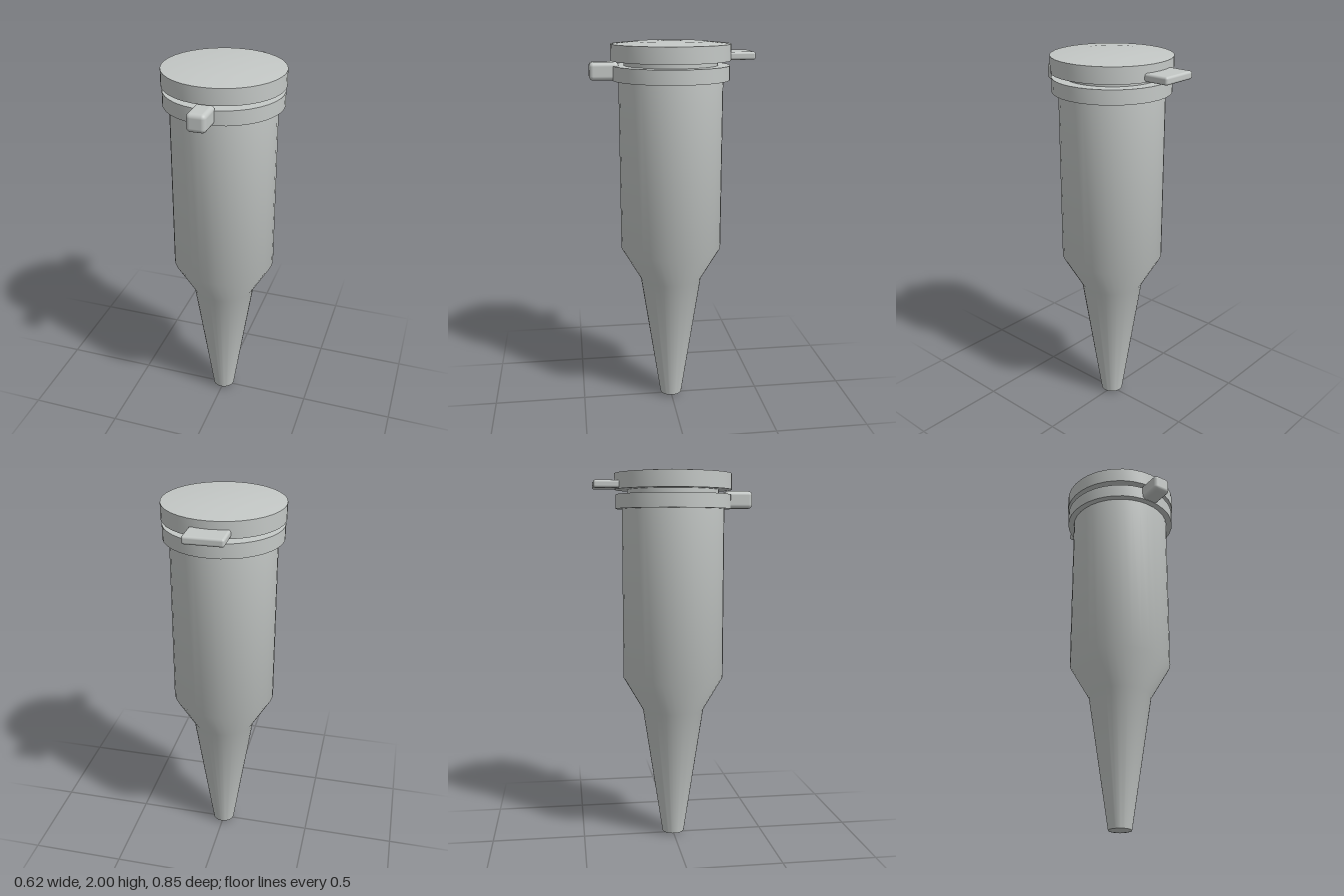
import * as THREE from 'three';
import { toCreasedNormals } from 'three/addons/utils/BufferGeometryUtils.js';
import { RoundedBoxGeometry } from 'three/addons/geometries/RoundedBoxGeometry.js';

export function createModel() {
  const group = new THREE.Group();
  const plastic = new THREE.MeshStandardMaterial({ color: 0xc4c8c6 });
  plastic.name = 'grey plastic';

  const add = (name, geometry) => {
    const mesh = new THREE.Mesh(geometry, plastic);
    mesh.name = name;
    group.add(mesh);
    return mesh;
  };

  // Turned part from [radius, height] pairs, bottom to top
  const turned = (name, profile) => {
    const points = profile.map(([r, y]) => new THREE.Vector2(r, y));
    return add(name, toCreasedNormals(new THREE.LatheGeometry(points, 36), 0.6));
  };

  // Softened block spanning two corners
  const block = (name, min, max, radius) => {
    const size = max.map((v, i) => v - min[i]);
    const mesh = add(name, new RoundedBoxGeometry(...size, 4, radius));
    mesh.position.set(...max.map((v, i) => (v + min[i]) / 2));
  };

  // Tube: shallow tip, tapered cone, shoulder and straight barrel
  turned('tubeBody', [[0, 0.003], [0.06, 0.016], [0.167, 0.72], [0.272, 0.9], [0.272, 1.81]]);

  // Flange around the mouth
  turned('rimFlange', [[0.26, 1.803], [0.305, 1.803], [0.305, 1.877], [0, 1.877]]);

  // Plug that joins the lid to the mouth
  turned('lidPlug', [[0.243, 1.86], [0.243, 1.91]]);

  // Lid with a slightly domed top
  turned('lid', [[0, 1.902], [0.31, 1.902], [0.31, 1.985], [0.18, 1.997], [0, 2]]);

  // Latch on the front of the flange, lifting tab on the back of the lid
  block('frontLatch', [-0.049, 1.805, 0.27], [0.049, 1.897, 0.422], 0.022);
  block('liftTab', [-0.1, 1.906, -0.424], [0.1, 1.946, -0.27], 0.012);

  return group;
}
